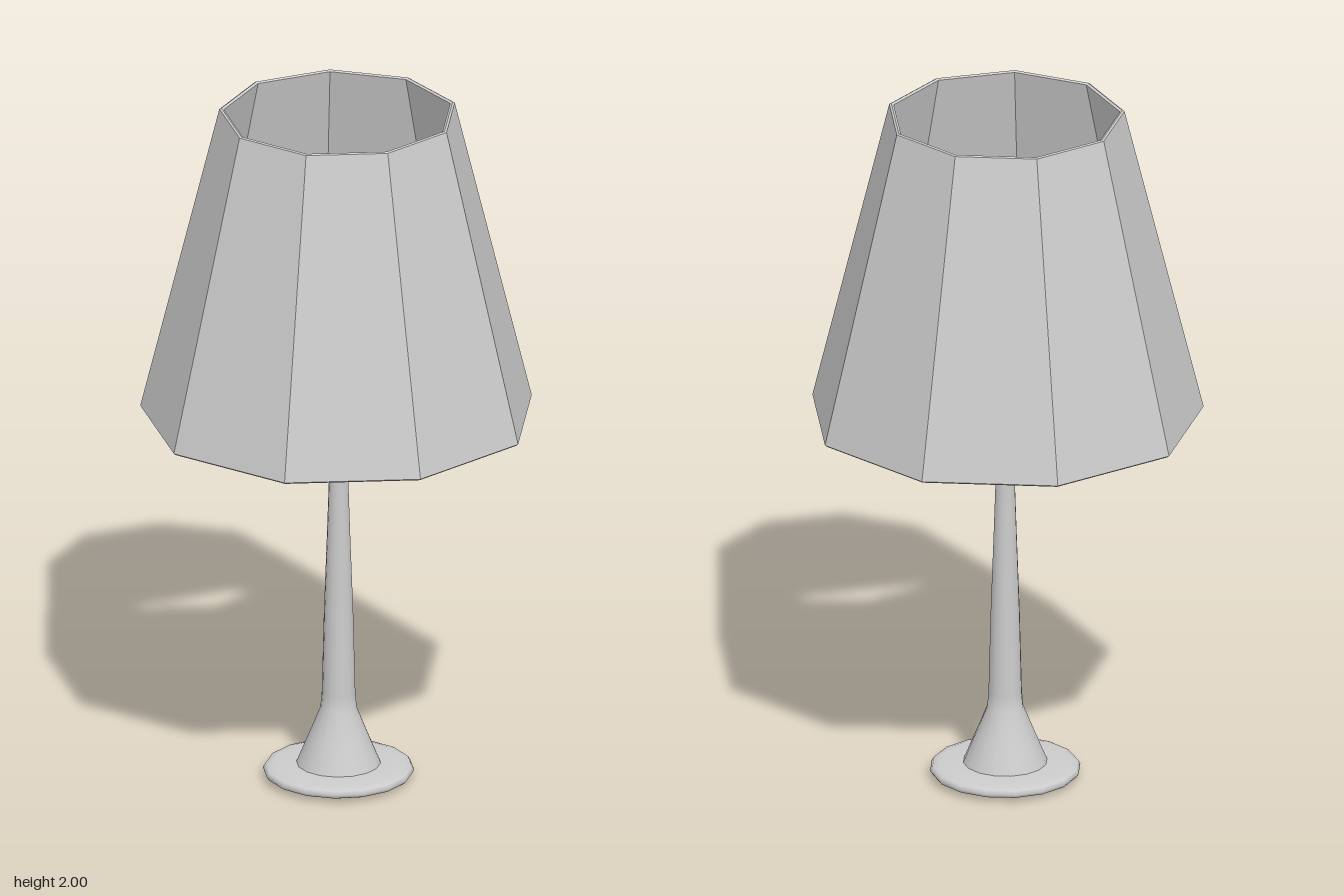
import * as THREE from 'three';

const grey = (flatShading = false) => new THREE.MeshStandardMaterial({ color: 0xcccccc, flatShading });

// Revolve an [r, y] profile, listed so that the outside runs upwards
function lathe(name, profile, sides, material, phiStart = 0) {
  const points = profile.map(([r, y]) => new THREE.Vector2(r, y));
  const mesh = new THREE.Mesh(new THREE.LatheGeometry(points, sides, phiStart), material);
  mesh.name = name;
  return mesh;
}

export function createModel() {
  const lamp = new THREE.Group();
  lamp.name = 'tableLamp';

  // Round foot: underside, rounded rim and top
  const foot = lathe('foot', [
    [0, 0.005], [0.15, 0.005], [0.185, 0.012], [0.205, 0.02], [0.212, 0.03],
    [0.205, 0.041], [0.185, 0.047], [0.118, 0.05], [0, 0.05],
  ], 16, grey());

  // Flared stem, tapering to a slim pole with a rounded tip
  const stem = lathe('stem', [
    [0.118, 0.05], [0.085, 0.13], [0.051, 0.215], [0.047, 0.26], [0.041, 0.5], [0.033, 0.72],
    [0.027, 0.9], [0.025, 1.05], [0.024, 1.45], [0.021, 1.475], [0.013, 1.49], [0, 1.495],
  ], 16, grey());

  // Nine-sided shade with a thin wall and narrow bevelled rims
  const shade = lathe('shade', [
    [0.544, 1.097], [0.551, 1.093], [0.557, 1.098], [0.335, 1.997],
    [0.329, 2], [0.322, 1.996], [0.544, 1.097],
  ], 9, grey(true), Math.PI / 2);

  lamp.add(foot, stem, shade);
  // Centre the odd-sided shade's bounds on x
  for (const part of lamp.children) part.position.x = -0.017;
  return lamp;
}
